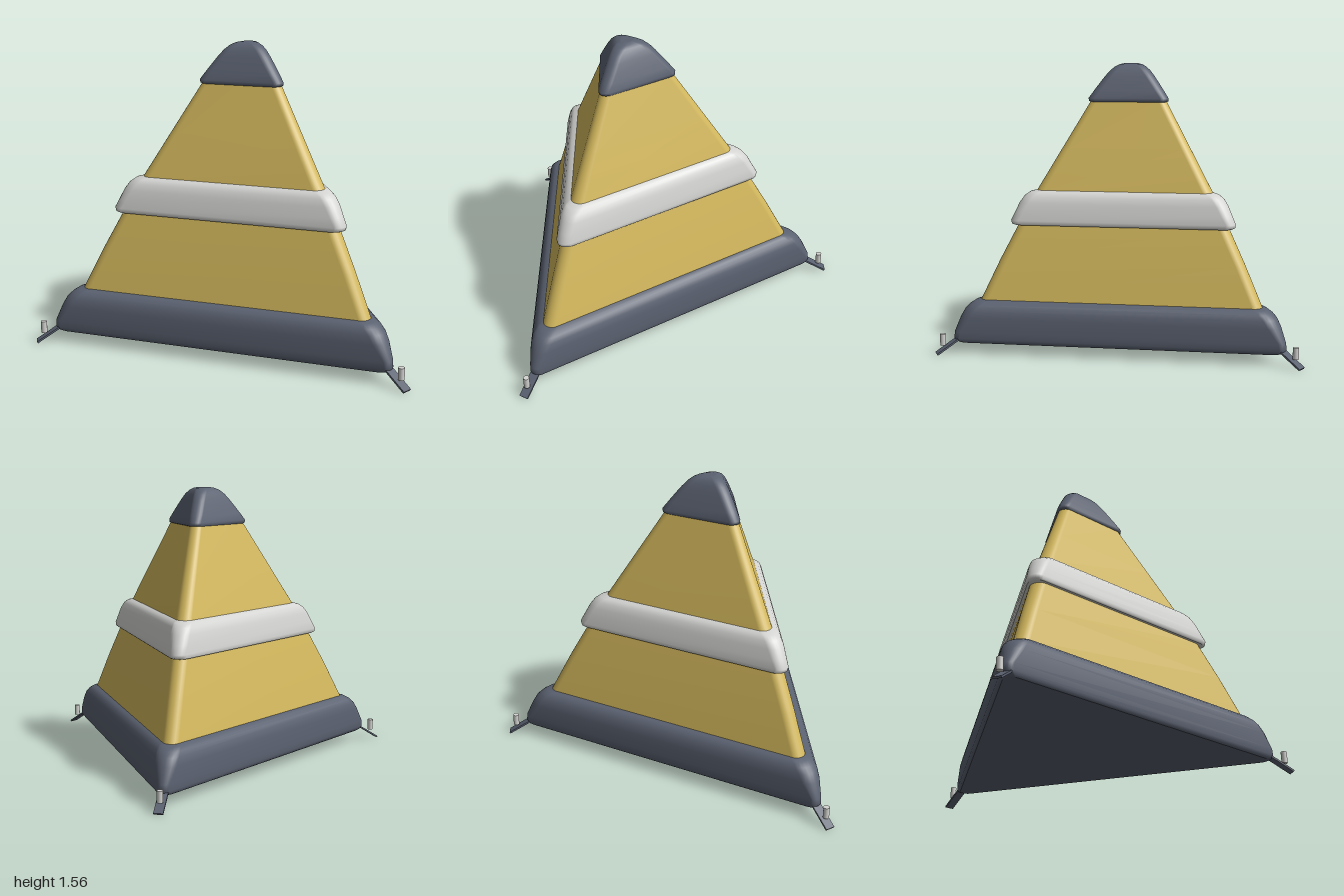
import * as THREE from 'three';

const CZ = 0.27;      // z of the triangle's centre
const ARC = 8;        // segments per rounded corner

// Rounded triangle ring: inradius r, corner radius c, one corner pointing to -z
function ring(y, r, c) {
  const pts = [];
  for (let k = 0; k < 3; k++) {
    const a = -Math.PI / 2 + k * Math.PI * 2 / 3;
    const d = 2 * (r - c);
    for (let i = 0; i <= ARC; i++) {
      const t = a + (i / ARC - 0.5) * Math.PI * 2 / 3;
      pts.push([Math.cos(a) * d + Math.cos(t) * c, y, CZ + Math.sin(a) * d + Math.sin(t) * c]);
    }
  }
  return pts;
}

// Loft through [y, inradius, cornerRadius] levels from bottom to top, with flat ends
function loft(levels) {
  const rings = levels.map(l => ring(...l));
  const n = rings[0].length, pos = rings.flat(2), idx = [];
  for (let j = 0; j < rings.length - 1; j++) {
    for (let i = 0; i < n; i++) {
      const a = j * n + i, b = j * n + (i + 1) % n;
      idx.push(a, a + n, b, b, a + n, b + n);
    }
  }
  const addEnd = (pts, up) => {
    const base = pos.length / 3;
    pos.push(0, pts[0][1], CZ, ...pts.flat());
    for (let i = 0; i < n; i++) {
      const a = base + 1 + i, b = base + 1 + (i + 1) % n;
      if (up) idx.push(base, b, a); else idx.push(base, a, b);
    }
  };
  addEnd(rings[0], false);
  addEnd(rings[rings.length - 1], true);
  const g = new THREE.BufferGeometry();
  g.setAttribute('position', new THREE.Float32BufferAttribute(pos, 3));
  g.setIndex(idx);
  g.computeVertexNormals();
  return g;
}

export function createModel() {
  const model = new THREE.Group();
  const material = (name, color) => {
    const m = new THREE.MeshStandardMaterial({ color });
    m.name = name;
    return m;
  };
  const yellow = material('yellow', 0xd2b75c);
  const slate = material('slate', 0x5a6170);
  const pale = material('paleGrey', 0xd4d4d2);

  const add = (name, geometry, mat, parent = model) => {
    const mesh = new THREE.Mesh(geometry, mat);
    mesh.name = name;
    parent.add(mesh);
    return mesh;
  };

  // Tapered yellow body
  add('body', loft([
    [0.25, 0.474, 0.05], [0.29, 0.465, 0.05], [0.5, 0.41, 0.05], [0.69, 0.356, 0.05],
    [0.87, 0.303, 0.05], [1.1, 0.225, 0.045], [1.36, 0.137, 0.04],
  ]), yellow);

  // Inflated base ring
  add('base', loft([
    [0.06, 0.522, 0.04], [0.068, 0.531, 0.037], [0.085, 0.536, 0.035], [0.12, 0.536, 0.038],
    [0.2, 0.531, 0.065], [0.24, 0.521, 0.07], [0.265, 0.507, 0.07], [0.283, 0.488, 0.065],
    [0.29, 0.462, 0.055],
  ]), slate);

  // Pale middle band
  add('band', loft([
    [0.69, 0.37, 0.05], [0.696, 0.376, 0.05], [0.715, 0.378, 0.05], [0.76, 0.368, 0.055],
    [0.81, 0.357, 0.06], [0.845, 0.343, 0.06], [0.865, 0.326, 0.058], [0.874, 0.302, 0.05],
  ]), pale);

  // Rounded top cap
  add('topCap', loft([
    [1.348, 0.138, 0.04], [1.354, 0.145, 0.04], [1.37, 0.146, 0.04], [1.41, 0.131, 0.042],
    [1.45, 0.115, 0.043], [1.49, 0.098, 0.043], [1.52, 0.083, 0.042], [1.542, 0.067, 0.04],
    [1.554, 0.05, 0.035], [1.559, 0.03, 0.025],
  ]), slate);

  // Sloping anchor strap and upright peg at each corner
  for (let k = 0; k < 3; k++) {
    const anchor = new THREE.Group();
    anchor.name = 'anchor' + (k + 1);
    anchor.position.z = CZ;
    anchor.rotation.y = Math.PI / 2 + k * Math.PI * 2 / 3;
    const run = 0.16, drop = 0.1;
    const strap = add('strap', new THREE.BoxGeometry(Math.hypot(run, drop), 0.01, 0.05), slate, anchor);
    strap.position.set(1.058, 0.055, 0);
    strap.rotation.z = -Math.atan2(drop, run);
    const peg = add('peg', new THREE.CylinderGeometry(0.016, 0.016, 0.062, 16), pale, anchor);
    peg.position.set(1.1, 0.083, 0);
    model.add(anchor);
  }
  return model;
}
